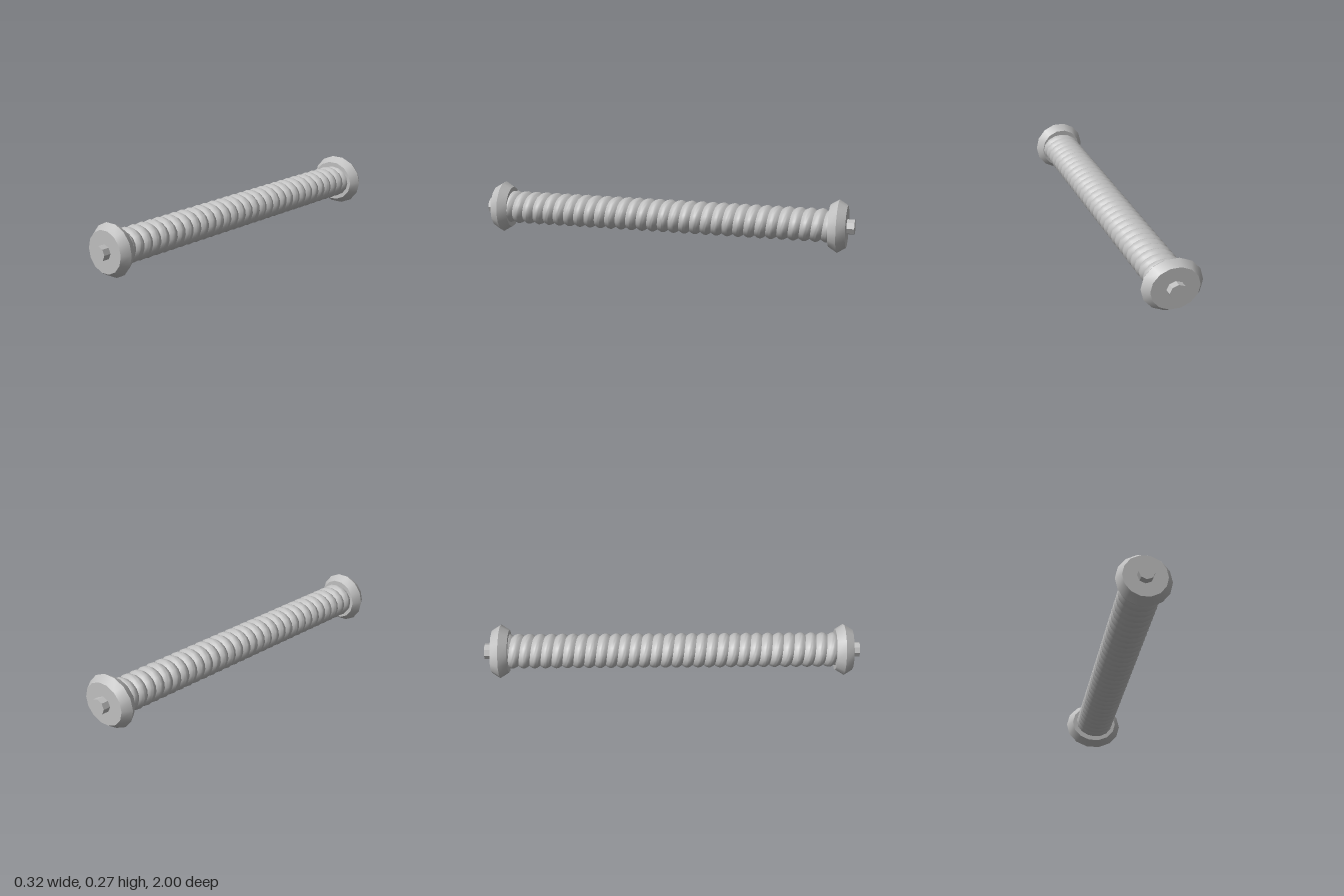
import * as THREE from 'three';
import { toCreasedNormals } from 'three/addons/utils/BufferGeometryUtils.js';
import { ParametricGeometry } from 'three/addons/geometries/ParametricGeometry.js';

const AXIS_Y = 0.134;

export function createModel() {
  const model = new THREE.Group();
  model.name = 'ribbedBar';
  const steel = new THREE.MeshStandardMaterial({ color: 0xbfbfbf });
  steel.name = 'greySteel';

  const add = (name, geometry, z = 0) => {
    const mesh = new THREE.Mesh(geometry, steel);
    mesh.name = name;
    mesh.position.set(0, AXIS_Y, z);
    model.add(mesh);
  };

  // Helically ribbed rod: scalloped ridges advancing one pitch per turn
  const turns = 32, pitch = 0.058;
  const rod = new ParametricGeometry((u, v, target) => {
    const angle = u * Math.PI * 2;
    const ridge = 0.014 * (1 - Math.abs(Math.sin(Math.PI * v * turns)));
    const z = (v * turns - (turns - 1) / 2 - u) * pitch;
    target.set(
      Math.cos(angle) * (0.106 - ridge),
      Math.sin(angle) * (0.088 - ridge),
      THREE.MathUtils.clamp(z, -0.89, 0.89)
    );
  }, 16, turns * 8);
  add('ribbedRod', toCreasedNormals(rod, 0.75));

  // Bevelled collar and octagonal stub at each end; the back pair is wider
  const profile = [[0, -0.045], [0.11, -0.045], [0.1375, 0], [0.11, 0.045], [0, 0.045]]
    .map(([r, y]) => new THREE.Vector2(r, y));
  for (const [end, side, widen] of [['front', 1, 1], ['back', -1, 1.15]]) {
    const collar = new THREE.LatheGeometry(profile, 14, Math.PI / 2);
    collar.rotateX(Math.PI / 2).scale(widen, 1, 1);
    add(end + 'Collar', toCreasedNormals(collar, 0.6), side * 0.915);

    const stub = new THREE.CylinderGeometry(0.04, 0.04, 0.06, 8);
    stub.rotateX(Math.PI / 2).scale(widen, 1, 1);
    add(end + 'Stub', toCreasedNormals(stub, 0.4), side * 0.97);
  }
  return model;
}
